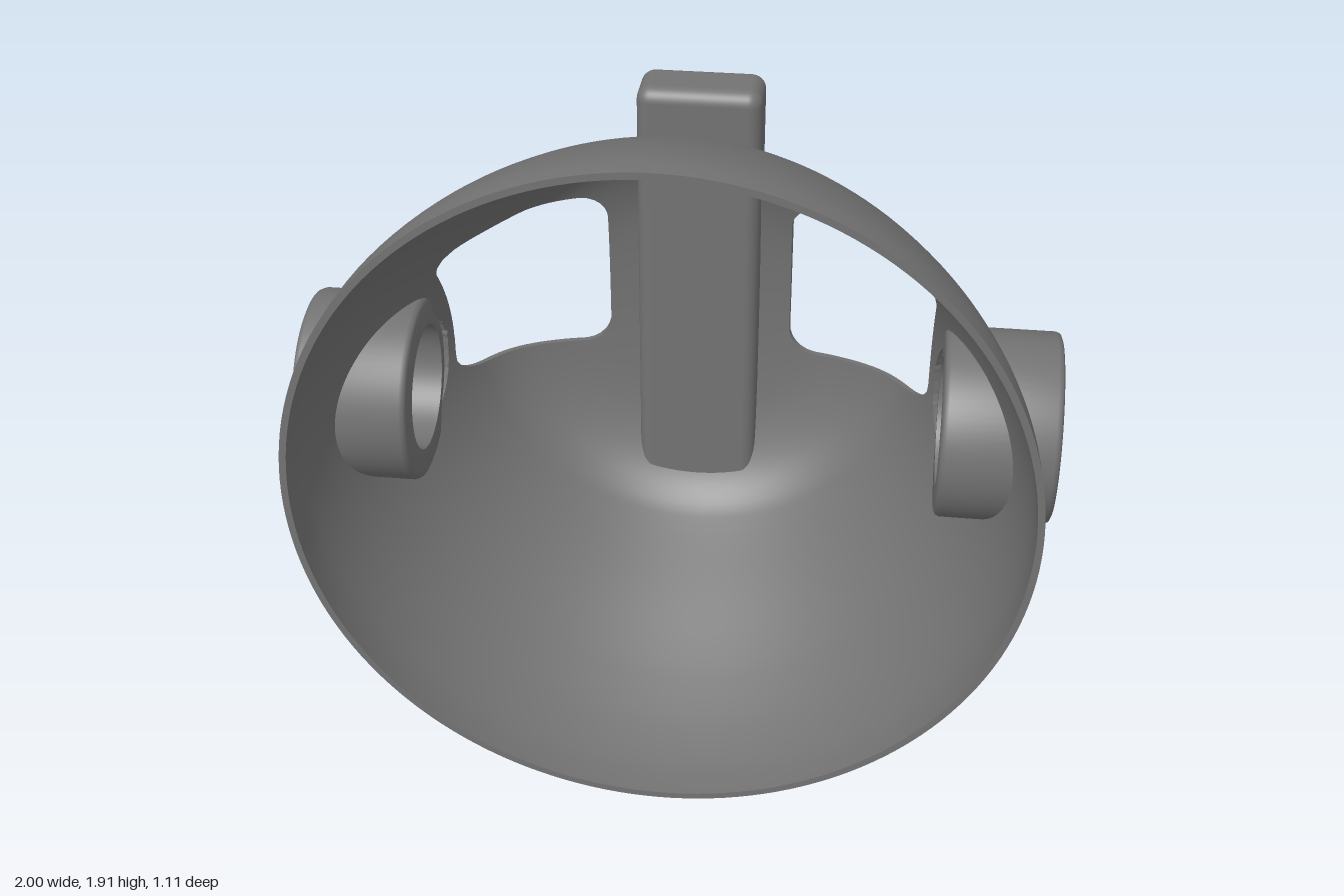
import * as THREE from 'three';
import { toCreasedNormals } from 'three/addons/utils/BufferGeometryUtils.js';
import { RoundedBoxGeometry } from 'three/addons/geometries/RoundedBoxGeometry.js';

const CY = 0.953;          // height of the bowl axis
const WALL = 0.018;        // bowl wall thickness
const EAR = { y: 0.957, z: 0.033, outer: 0.255, inner: 0.172 };

// Outer bowl profile as (radius, z), from the back pole to the front rim
const profile = new THREE.SplineCurve([
  [0, -0.49], [0.18, -0.484], [0.34, -0.467], [0.45, -0.437], [0.54, -0.393], [0.605, -0.335],
  [0.65, -0.262], [0.745, -0.07], [0.818, 0.08], [0.866, 0.19], [0.913, 0.32], [0.945, 0.45], [0.953, 0.55],
].map(([r, z]) => new THREE.Vector2(r, z)));

// Positive where the wall is kept, negative inside a window or an ear opening
function keep(p) {
  const R = 0.08;
  const qx = Math.abs(Math.abs(p.x) - 0.468) - 0.206 + R;
  const qy = Math.abs(p.y - 1.091) - 0.252 + R;
  const windowDist = Math.hypot(Math.max(qx, 0), Math.max(qy, 0)) + Math.min(Math.max(qx, qy), 0) - R;
  const earDist = Math.hypot(p.y - EAR.y, p.z - EAR.z) - 0.2;
  return Math.min(windowDist, earDist);
}

// Thin bowl: a polar grid whose triangles are clipped by the openings
function bowlGeometry() {
  const RINGS = 72, SEGS = 160;
  const pos = [], nor = [];

  const tri = (pts, normals) => {
    const face = pts[1].clone().sub(pts[0]).cross(pts[2].clone().sub(pts[0]));
    const order = face.dot(normals[0]) < 0 ? [0, 2, 1] : [0, 1, 2];
    for (const i of order) {
      pos.push(...pts[i].toArray());
      nor.push(...normals[i].toArray());
    }
  };

  // Strip joining the outer and inner skins, facing away from a kept point
  const wall = (a, b, kept) => {
    const n = b.out.clone().sub(a.out).cross(a.in.clone().sub(a.out));
    if (n.lengthSq() < 1e-16) return;
    n.normalize();
    if (n.dot(kept.out.clone().sub(a.out)) > 0) n.negate();
    tri([a.out, b.out, b.in], [n, n, n]);
    tri([a.out, b.in, a.in], [n, n, n]);
  };

  const mix = (a, b) => {
    const k = a.f / (a.f - b.f);
    return {
      out: a.out.clone().lerp(b.out, k), in: a.in.clone().lerp(b.in, k),
      n: a.n.clone().lerp(b.n, k).normalize(), f: 0,
    };
  };

  const clip = (t) => {
    const poly = [], cut = [];
    t.forEach((a, i) => {
      const b = t[(i + 1) % 3];
      if (a.f >= 0) poly.push(a);
      if ((a.f >= 0) !== (b.f >= 0)) {
        const m = mix(a, b);
        poly.push(m);
        cut.push(m);
      }
    });
    for (let i = 1; i + 1 < poly.length; i++) {
      const f = [poly[0], poly[i], poly[i + 1]];
      tri(f.map((v) => v.out), f.map((v) => v.n));
      tri(f.map((v) => v.in), f.map((v) => v.n.clone().negate()));
    }
    if (cut.length === 2) wall(cut[0], cut[1], t.find((v) => v.f >= 0));
  };

  const grid = [];
  for (let i = 0; i <= RINGS; i++) {
    const p = profile.getPointAt(i / RINGS), d = profile.getTangentAt(i / RINGS);
    if (i === 0) d.set(1, 0);
    if (i === RINGS) d.set(0, 1);
    grid.push([]);
    for (let j = 0; j <= SEGS; j++) {
      const a = (j % SEGS) / SEGS * Math.PI * 2, c = Math.cos(a), s = Math.sin(a);
      const n = new THREE.Vector3(d.y * c, d.y * s, -d.x);
      const out = new THREE.Vector3(p.x * c, CY + p.x * s, p.y);
      const f = keep(out.clone().addScaledVector(n, -WALL / 2));
      grid[i].push({ out, in: out.clone().addScaledVector(n, -WALL), n, f });
    }
  }
  for (let i = 0; i < RINGS; i++) {
    for (let j = 0; j < SEGS; j++) {
      const a = grid[i][j], b = grid[i + 1][j], c = grid[i + 1][j + 1], d = grid[i][j + 1];
      clip([a, b, c]);
      if (i > 0) clip([a, c, d]);
      if (i === RINGS - 1) wall(b, c, a);
    }
  }
  const g = new THREE.BufferGeometry();
  g.setAttribute('position', new THREE.Float32BufferAttribute(pos, 3));
  g.setAttribute('normal', new THREE.Float32BufferAttribute(nor, 3));
  return g;
}

// Hollow ear tube with softened outer edges, lying along x
function earGeometry() {
  const a = 0.695, b = 1.0, e = 0.016, { inner, outer } = EAR;
  const pts = [
    [inner, a], [outer - e, a], [outer - e * 0.3, a + e * 0.3], [outer, a + e],
    [outer, b - e], [outer - e * 0.3, b - e * 0.3], [outer - e, b], [inner, b], [inner, a],
  ].map(([r, h]) => new THREE.Vector2(r, h));
  return toCreasedNormals(new THREE.LatheGeometry(pts, 72), 0.9).rotateZ(-Math.PI / 2);
}

export function createModel() {
  const model = new THREE.Group();
  model.name = 'bowlMask';
  const grey = new THREE.MeshStandardMaterial({ color: 0x737373 });
  grey.name = 'grey';

  const add = (name, geometry, x, y, z) => {
    const mesh = new THREE.Mesh(geometry, grey);
    mesh.name = name;
    mesh.position.set(x, y, z);
    model.add(mesh);
    return mesh;
  };

  add('bowl', bowlGeometry(), 0, 0, 0);

  // Upright bar through the back of the bowl
  add('backBar', new RoundedBoxGeometry(0.344, 1.44, 0.172, 5, 0.04), 0, 0.957, -0.47);

  // Ear tubes on both sides
  const ear = earGeometry();
  add('leftEarTube', ear, 0, EAR.y, EAR.z);
  add('rightEarTube', ear, 0, EAR.y, EAR.z).rotation.y = Math.PI;

  return model;
}
